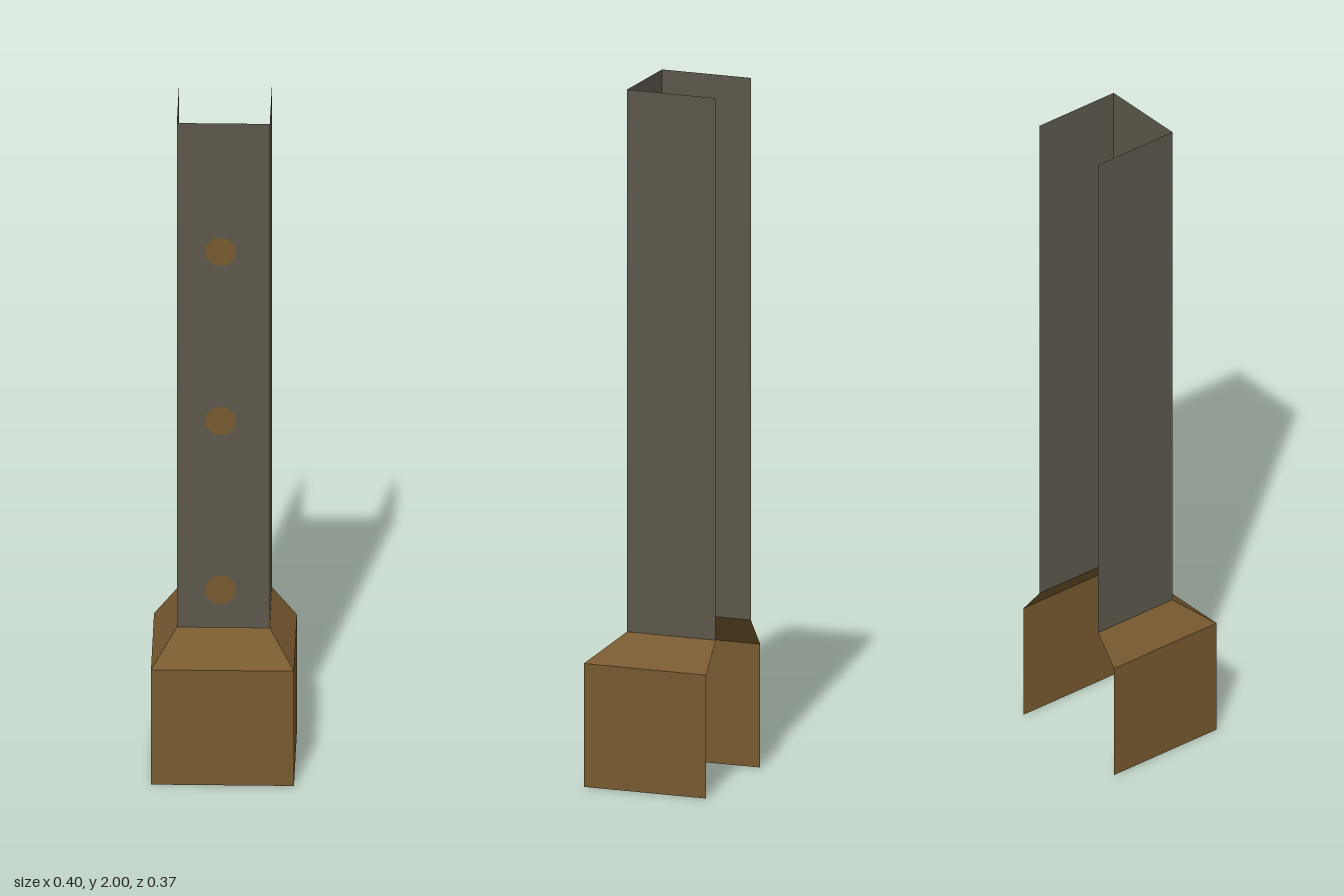
import * as THREE from 'three';

const steel = new THREE.MeshStandardMaterial({ color: 0x5c584c, side: THREE.DoubleSide });
steel.name = 'weathered grey';
const rust = new THREE.MeshStandardMaterial({ color: 0x785a30, side: THREE.DoubleSide });
rust.name = 'rusty brown';

const BACK = -0.185;

// U-shaped section, open at the back, at one height
const section = ({ y, x, z }) => [[x, y, BACK], [x, y, z], [-x, y, z], [-x, y, BACK]];

// Thin three-sided shell joining a stack of sections
function channel(name, levels, material) {
  const points = [];
  for (let i = 0; i < levels.length - 1; i++) {
    const low = section(levels[i]);
    const high = section(levels[i + 1]);
    for (let j = 0; j < 3; j++) {
      points.push(low[j + 1], low[j], high[j], low[j + 1], high[j], high[j + 1]);
    }
  }
  const geometry = new THREE.BufferGeometry();
  geometry.setAttribute('position', new THREE.Float32BufferAttribute(points.flat(), 3));
  geometry.computeVertexNormals();
  const mesh = new THREE.Mesh(geometry, material);
  mesh.name = name;
  return mesh;
}

export function createModel() {
  const group = new THREE.Group();
  group.name = 'channelPost';

  const foot = { y: 0, x: 0.2, z: 0.185 };
  const shoulder = { y: 0.355, x: 0.2, z: 0.185 };
  const neck = { y: 0.44, x: 0.13, z: 0.083 };
  const top = { y: 2, x: 0.13, z: 0.083 };

  group.add(channel('base', [foot, shoulder, neck], rust));
  group.add(channel('shaft', [neck, top], steel));

  // Octagonal rivet marks down the front
  const rivet = new THREE.CircleGeometry(0.046, 8);
  rivet.rotateZ(Math.PI / 8);
  [0.557, 1.08, 1.603].forEach((y, i) => {
    const mesh = new THREE.Mesh(rivet, rust);
    mesh.name = `rivet${i + 1}`;
    mesh.position.set(-0.008, y, 0.0845);
    group.add(mesh);
  });

  return group;
}
